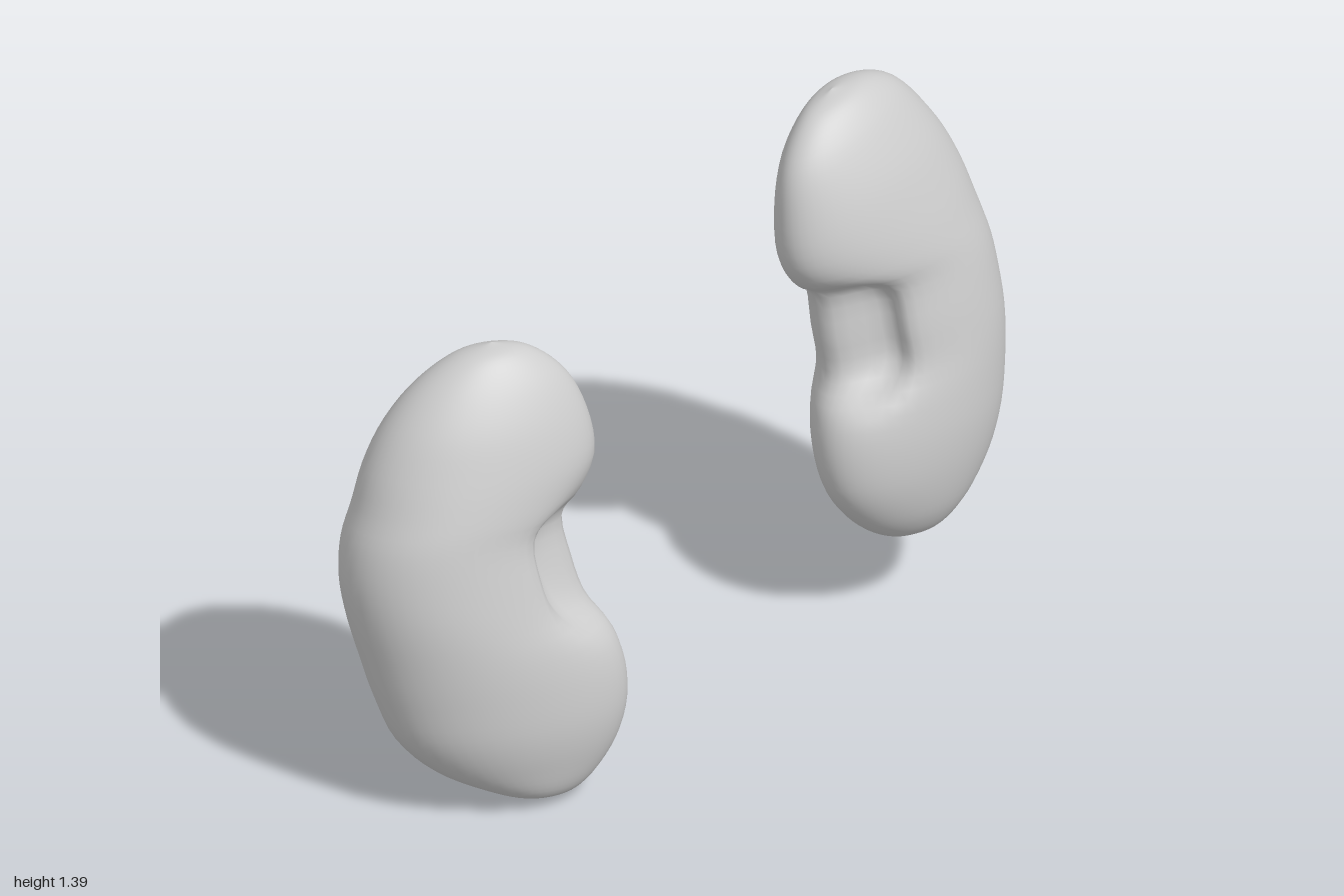
import * as THREE from 'three';
import { mergeVertices } from 'three/addons/utils/BufferGeometryUtils.js';

// Stations from upper to lower pole:
// outer x, outer y, inner x, inner y, half thickness, hilum depth
const LEFT = [
  [0.57, 1.39, 0.57, 1.39, 0, 0],
  [0.68, 1.385, 0.47, 1.35, 0.055, 0],
  [0.77, 1.345, 0.39, 1.26, 0.1, 0],
  [0.86, 1.235, 0.36, 1.14, 0.145, 0],
  [0.92, 1.12, 0.36, 1.02, 0.172, 0],
  [0.955, 1.0, 0.40, 0.945, 0.188, 0.01],
  [0.98, 0.9, 0.46, 0.895, 0.195, 0.075],
  [0.992, 0.8, 0.47, 0.78, 0.2, 0.09],
  [0.997, 0.7, 0.475, 0.68, 0.2, 0.08],
  [0.987, 0.57, 0.43, 0.6, 0.195, 0.01],
  [0.965, 0.46, 0.412, 0.5, 0.182, 0],
  [0.92, 0.36, 0.43, 0.39, 0.155, 0],
  [0.84, 0.27, 0.5, 0.29, 0.115, 0],
  [0.76, 0.218, 0.59, 0.224, 0.065, 0],
  [0.68, 0.2, 0.68, 0.2, 0, 0],
];
const RIGHT = [
  [-0.59, 1.175, -0.59, 1.175, 0, 0],
  [-0.68, 1.15, -0.51, 1.155, 0.055, 0],
  [-0.77, 1.09, -0.435, 1.085, 0.1, 0],
  [-0.85, 1.0, -0.395, 0.98, 0.14, 0],
  [-0.905, 0.9, -0.39, 0.87, 0.165, 0],
  [-0.94, 0.8, -0.43, 0.775, 0.182, 0.015],
  [-0.97, 0.72, -0.465, 0.71, 0.19, 0.075],
  [-0.985, 0.63, -0.455, 0.6, 0.195, 0.09],
  [-0.98, 0.53, -0.435, 0.5, 0.197, 0.07],
  [-0.96, 0.41, -0.395, 0.42, 0.192, 0.01],
  [-0.94, 0.31, -0.375, 0.32, 0.18, 0],
  [-0.905, 0.2, -0.385, 0.21, 0.16, 0],
  [-0.83, 0.11, -0.43, 0.11, 0.125, 0],
  [-0.71, 0.04, -0.51, 0.025, 0.08, 0],
  [-0.61, 0, -0.61, 0, 0, 0],
];

// Sweeps flattened ovals between the outer and inner edges of a tilted plane
function kidneyGeometry(stations, planeZ, normal) {
  const RINGS = 72, SIDES = 48;
  const edge = (x, y) => new THREE.Vector3(x, y, planeZ(x, y));
  const outer = new THREE.CatmullRomCurve3(stations.map(s => edge(s[0], s[1])));
  const inner = new THREE.CatmullRomCurve3(stations.map(s => edge(s[2], s[3])));
  const size = new THREE.CatmullRomCurve3(stations.map((s, i) => new THREE.Vector3(s[4], s[5], i * 0.1)));
  const flip = stations[5][0] < 0;
  const pos = [], index = [];
  for (let i = 0; i <= RINGS; i++) {
    const u = (1 - Math.cos(Math.PI * i / RINGS)) / 2;
    const a = outer.getPoint(u), b = inner.getPoint(u), s = size.getPoint(u);
    const centre = a.clone().add(b).multiplyScalar(0.5);
    const half = a.clone().sub(b).multiplyScalar(0.5);
    const across = half.clone().normalize();
    const end = i === 0 || i === RINGS;
    for (let j = 0; j < SIDES; j++) {
      const t = j / SIDES * Math.PI * 2;
      // Pit of the hilum, on the front of the inner edge
      const dent = Math.max(0, s.y) * Math.exp(-(((t - Math.PI + 0.45) / 0.36) ** 2));
      // The oval is thinner towards its inner edge
      const rise = end ? 0 : s.x * Math.sin(t) * (1 + 0.12 * Math.cos(t));
      const p = centre.clone()
        .addScaledVector(half, Math.cos(t))
        .addScaledVector(normal, rise)
        .addScaledVector(across, dent);
      pos.push(p.x, p.y, p.z);
      if (i < RINGS) {
        const k = (j + 1) % SIDES;
        const p0 = i * SIDES + j, p1 = i * SIDES + k, q0 = p0 + SIDES, q1 = p1 + SIDES;
        if (flip) index.push(p0, q0, p1, p1, q0, q1);
        else index.push(p0, p1, q0, p1, q1, q0);
      }
    }
  }
  let geo = new THREE.BufferGeometry();
  geo.setAttribute('position', new THREE.Float32BufferAttribute(pos, 3));
  geo.setIndex(index);
  geo = mergeVertices(geo, 1e-5);
  geo.computeVertexNormals();
  return geo;
}

export function createModel() {
  const group = new THREE.Group();
  group.name = 'kidneys';
  const grey = new THREE.MeshStandardMaterial({ color: 0xcccccc });
  grey.name = 'light grey';

  // Each kidney lies in its own plane: z = z0 + b (x - x0) + c (y - y0)
  const add = (name, stations, x0, y0, z0, b, c) => {
    const normal = new THREE.Vector3(-b, -c, 1).normalize();
    const planeZ = (x, y) => z0 + b * (x - x0) + c * (y - y0);
    const mesh = new THREE.Mesh(kidneyGeometry(stations, planeZ, normal), grey);
    mesh.name = name;
    group.add(mesh);
  };
  add('leftKidney', LEFT, 0.68, 0.8, -0.07, -0.2, -0.165);
  add('rightKidney', RIGHT, -0.68, 0.6, 0.025, 0.46, -0.165);
  return group;
}
